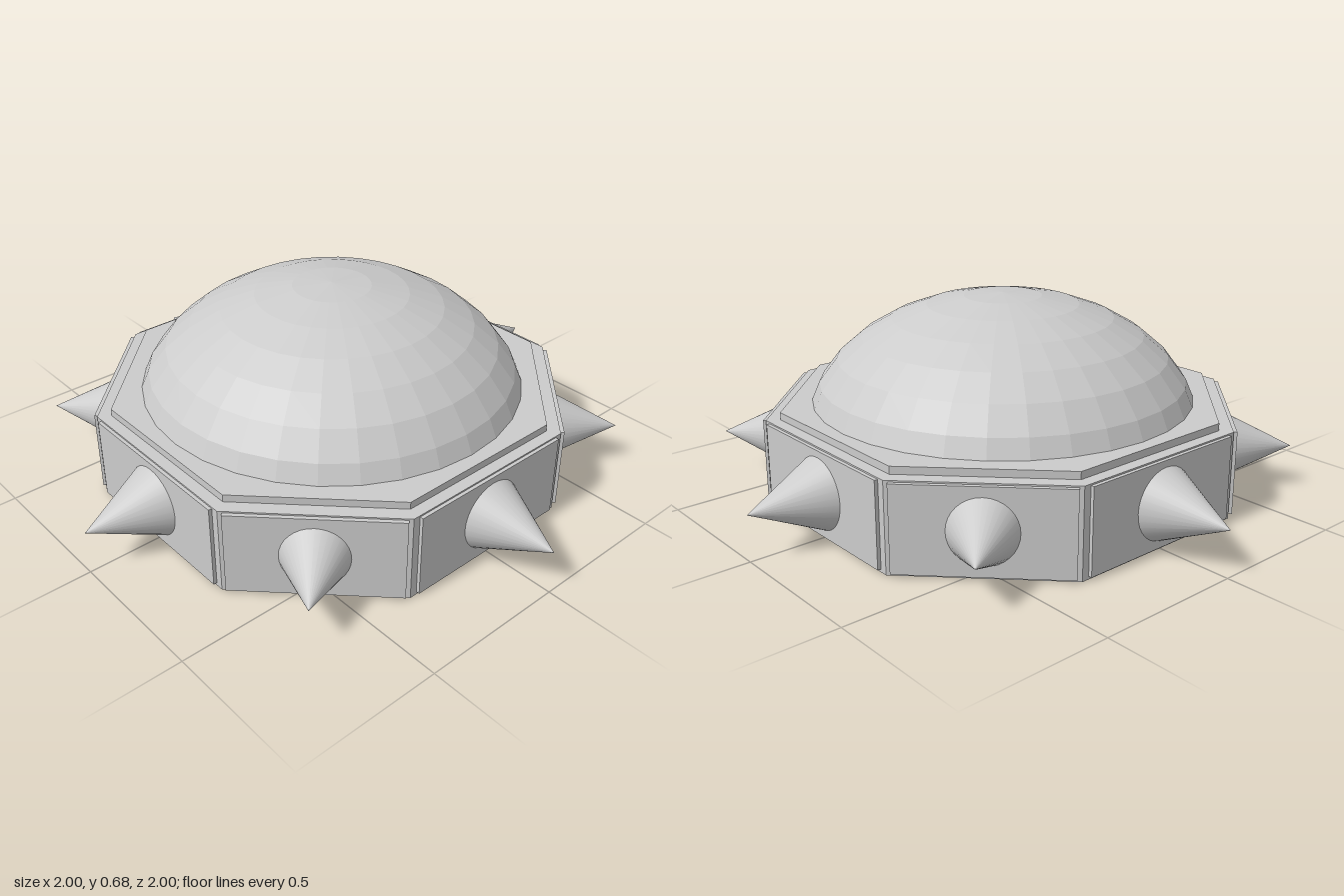
import * as THREE from 'three';

const material = new THREE.MeshStandardMaterial({ color: 0xcccccc });
const flatMaterial = new THREE.MeshStandardMaterial({ color: 0xcccccc, flatShading: true });

function add(parent, name, geometry, mat = material) {
  const mesh = new THREE.Mesh(geometry, mat);
  mesh.name = name;
  parent.add(mesh);
  return mesh;
}

// Upright eight-sided slab: straight sides at distance a, corners at (c, a) and (a, c)
function octagonSlab(a, c, y0, y1) {
  const corners = [[c, a], [-c, a], [-a, c], [-a, -c], [-c, -a], [c, -a], [a, -c], [a, c]];
  const shape = new THREE.Shape(corners.map(([x, y]) => new THREE.Vector2(x, y)));
  const geometry = new THREE.ExtrudeGeometry(shape, { depth: y1 - y0, bevelEnabled: false });
  return geometry.rotateX(-Math.PI / 2).translate(0, y0, 0);
}

export function createModel() {
  const model = new THREE.Group();
  model.name = 'spikedDome';

  // Octagonal body and the raised plate on top
  add(model, 'body', octagonSlab(0.74, 0.335, 0, 0.3));
  add(model, 'topPlate', octagonSlab(0.7, 0.31, 0.3, 0.325));

  // Faceted dome, a flattened hemisphere sunk into the plate
  const dome = add(model, 'dome',
    new THREE.SphereGeometry(0.68, 32, 8, 0, Math.PI * 2, 0, Math.PI / 2), flatMaterial);
  dome.scale.y = 0.475 / 0.68;
  dome.position.y = 0.205;

  // Side panel and spike on each of the eight faces
  for (let i = 0; i < 8; i++) {
    const side = new THREE.Group();
    side.name = 'side' + (i + 1);
    side.rotation.y = (i * Math.PI) / 4;
    model.add(side);

    const diagonal = i % 2 === 1;
    const face = diagonal ? 0.774 : 0.752;
    const panel = add(side, 'panel', new THREE.BoxGeometry(diagonal ? 0.545 : 0.62, 0.285, 0.06));
    panel.position.set(0, 0.1525, face - 0.03);

    const spike = add(side, 'spike', new THREE.ConeGeometry(0.13, 0.27, 32));
    spike.rotation.x = Math.PI / 2;
    spike.position.set(0, 0.153, 1 - 0.135);
  }
  return model;
}
